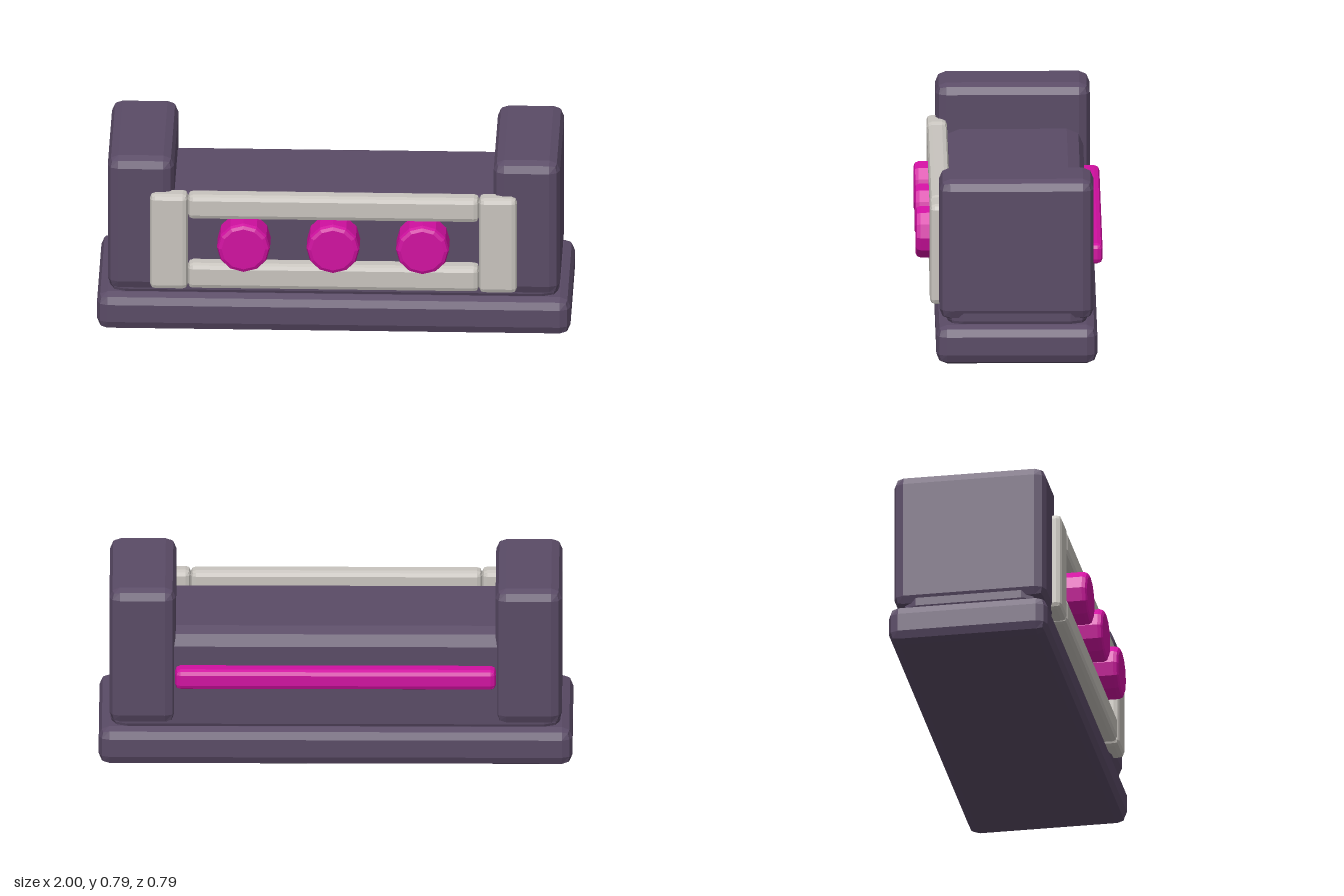
import * as THREE from 'three';
import { RoundedBoxGeometry } from 'three/addons/geometries/RoundedBoxGeometry.js';

const material = (name, color) => {
  const m = new THREE.MeshStandardMaterial({ color, flatShading: true });
  m.name = name;
  return m;
};

export function createModel() {
  const group = new THREE.Group();
  const dark = material('dark plum', 0x5a4b66);
  const grey = material('warm grey', 0xc8c4be);
  const pink = material('magenta', 0xd010a0);

  // Box with two-facet bevels, given by its limits on each axis
  const block = (name, mat, [x0, x1], [y0, y1], [z0, z1], bevel) => {
    const geo = new RoundedBoxGeometry(x1 - x0, y1 - y0, z1 - z0, 1, bevel);
    geo.computeVertexNormals();
    const mesh = new THREE.Mesh(geo, mat);
    mesh.position.set((x0 + x1) / 2, (y0 + y1) / 2, (z0 + z1) / 2);
    mesh.name = name;
    group.add(mesh);
  };

  // Plinth and central body
  block('base', dark, [-1, 1], [0, 0.168], [-0.368, 0.312], 0.045);
  block('body', dark, [-0.95, 0.95], [0.11, 0.6], [-0.325, 0.267], 0.07);

  // Tall end blocks and the upright ends of the front frame
  for (const [side, s] of [['left', 1], ['right', -1]]) {
    const span = (a, b) => (s > 0 ? [a, b] : [-b, -a]);
    block(side + 'EndBlock', dark, span(0.675, 0.955), [0.182, 0.792], [-0.353, 0.298], 0.045);
    block(side + 'FrameUpright', grey, span(0.615, 0.775), [0.207, 0.642], [0.25, 0.337], 0.022);
  }

  // Front frame rails
  block('topFrameRail', grey, [-0.615, 0.615], [0.53, 0.64], [0.25, 0.335], 0.022);
  block('bottomFrameRail', grey, [-0.615, 0.615], [0.21, 0.325], [0.25, 0.335], 0.022);

  // Strip across the back
  block('backStrip', pink, [-0.677, 0.677], [0.357, 0.446], [-0.393, -0.3], 0.022);

  // Twelve-sided front buttons with bevelled rims
  const profile = [[0, 0], [0.112, 0], [0.112, 0.174], [0.106, 0.188], [0.092, 0.194], [0, 0.194]]
    .map(([r, y]) => new THREE.Vector2(r, y));
  const buttonGeo = new THREE.LatheGeometry(profile, 12, Math.PI / 2);
  buttonGeo.rotateX(Math.PI / 2);
  for (const x of [-0.378, 0, 0.378]) {
    const button = new THREE.Mesh(buttonGeo, pink);
    button.position.set(x, 0.425, 0.2);
    button.name = 'button';
    group.add(button);
  }

  return group;
}
